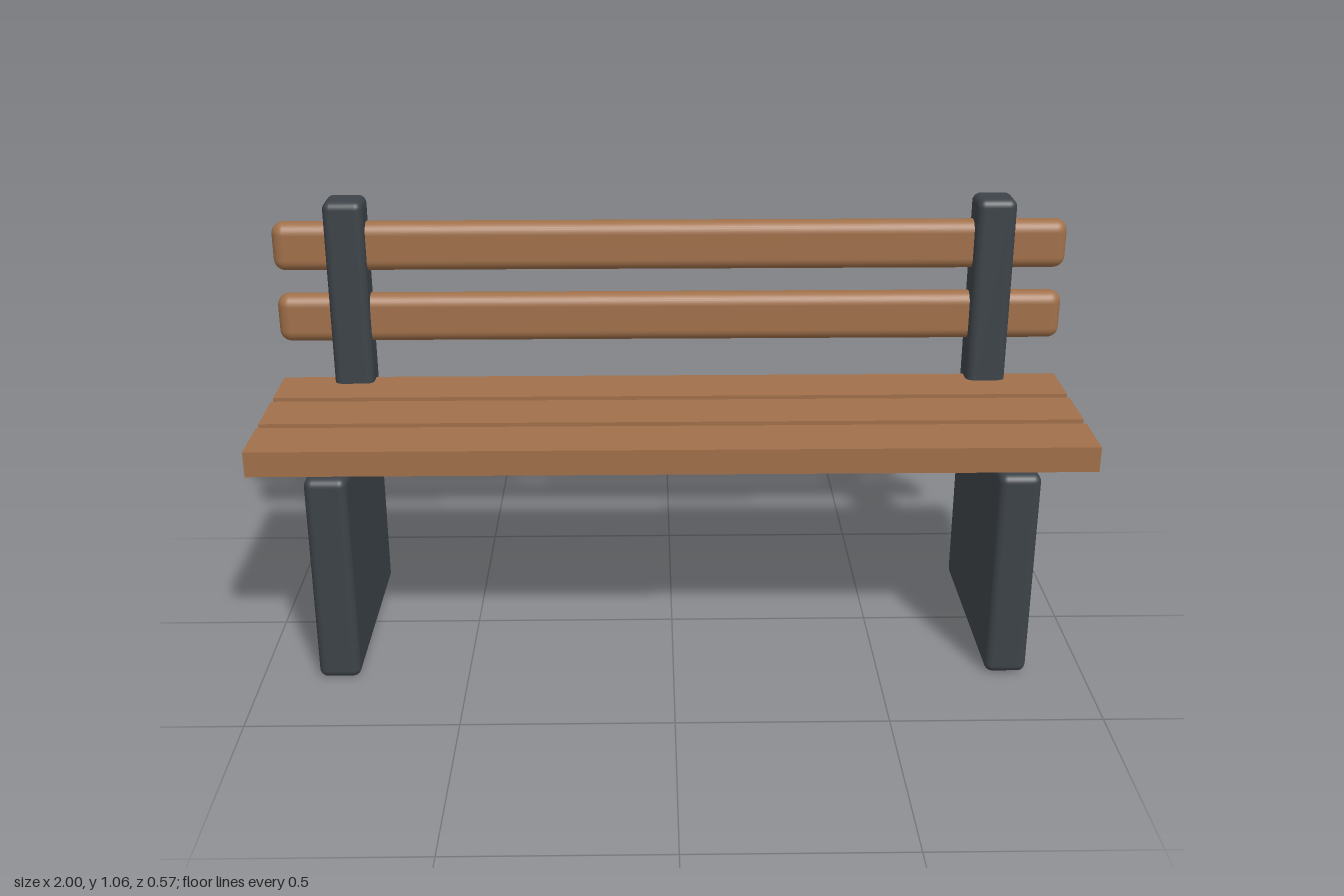
import * as THREE from 'three';
import { RoundedBoxGeometry } from 'three/addons/geometries/RoundedBoxGeometry.js';

export function createModel() {
  const bench = new THREE.Group();
  bench.name = 'bench';

  const wood = new THREE.MeshStandardMaterial({ color: 0xa0704a });
  wood.name = 'wood';
  const iron = new THREE.MeshStandardMaterial({ color: 0x3d4349 });
  iron.name = 'dark iron';

  const add = (name, geometry, material, x, y, z) => {
    const mesh = new THREE.Mesh(geometry, material);
    mesh.name = name;
    mesh.position.set(x, y, z);
    bench.add(mesh);
  };

  // Slab legs with a back post standing on each
  const legGeometry = new RoundedBoxGeometry(0.1, 0.526, 0.55, 4, 0.02);
  const postGeometry = new RoundedBoxGeometry(0.1, 0.536, 0.1, 4, 0.02);
  for (const [side, x] of [['left', 0.8125], ['right', -0.8125]]) {
    add(side + 'Leg', legGeometry, iron, x, 0.263, 0.0125);
    add(side + 'BackPost', postGeometry, iron, x, 0.795, -0.2375);
  }

  // Square-edged seat planks
  const plankGeometry = new THREE.BoxGeometry(2, 0.0625, 0.15);
  [0.1875, 0.0125, -0.1625].forEach((z, i) => {
    add('seatPlank' + (i + 1), plankGeometry, wood, 0, 0.5575, z);
  });

  // Rounded backrest rails passing through the posts
  const railGeometry = new RoundedBoxGeometry(2, 0.125, 0.0625, 4, 0.03);
  [0.7525, 0.94].forEach((y, i) => {
    add('backRail' + (i + 1), railGeometry, wood, 0, y, -0.2425);
  });

  return bench;
}
